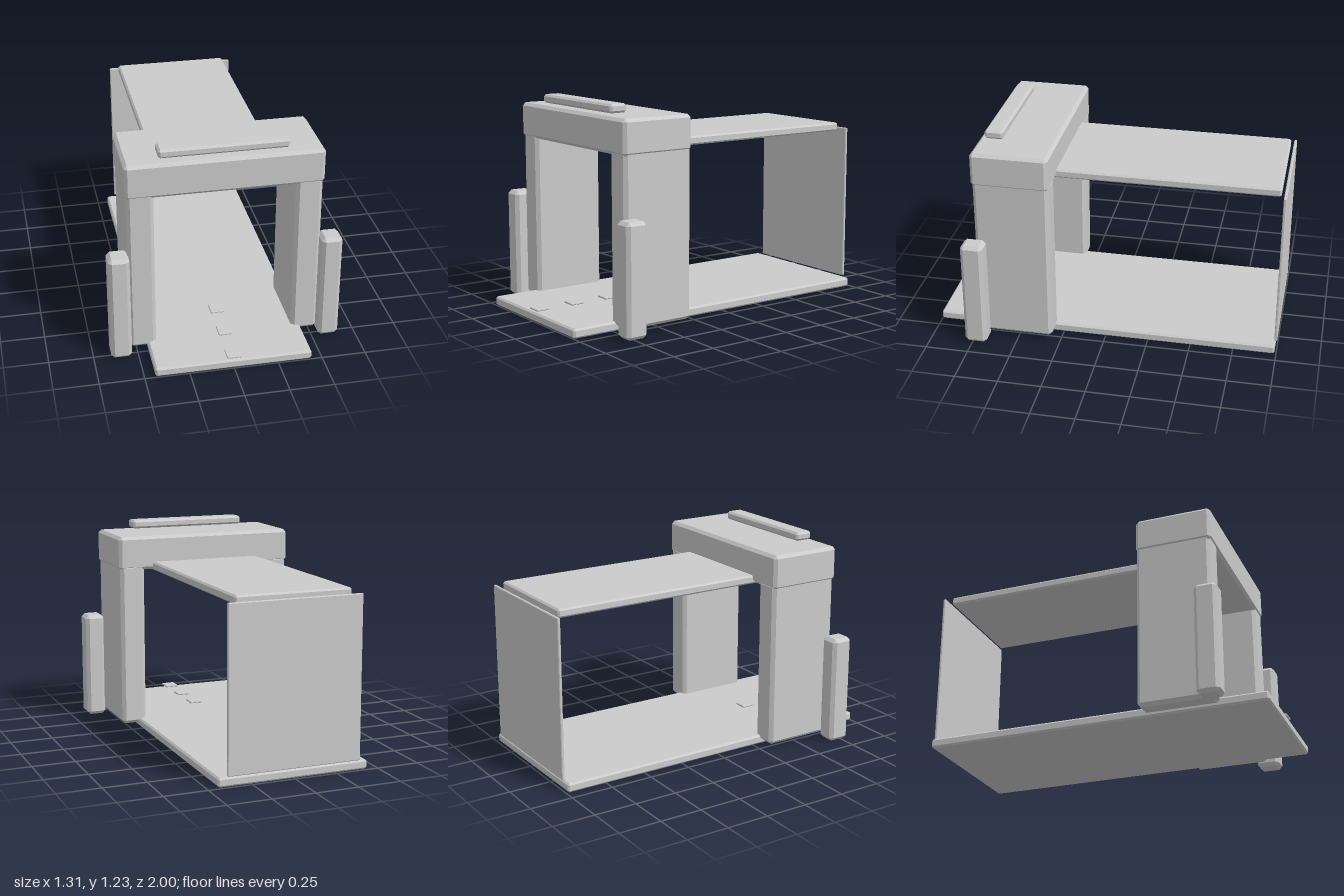
import * as THREE from 'three';
import { ConvexGeometry } from 'three/addons/geometries/ConvexGeometry.js';

const material = new THREE.MeshStandardMaterial({ color: 0xcccccc, flatShading: true });

// Box between two corners with every edge chamfered by b
function chamferBox(name, min, max, b) {
  const lo = new THREE.Vector3(...min), hi = new THREE.Vector3(...max);
  const centre = lo.clone().add(hi).multiplyScalar(0.5);
  const half = hi.clone().sub(lo).multiplyScalar(0.5);
  const points = [];
  for (const sx of [-1, 1]) for (const sy of [-1, 1]) for (const sz of [-1, 1]) {
    for (let axis = 0; axis < 3; axis++) {
      const p = half.clone().subScalar(b);
      p.setComponent(axis, half.getComponent(axis));
      points.push(p.multiply(new THREE.Vector3(sx, sy, sz)));
    }
  }
  const mesh = new THREE.Mesh(new ConvexGeometry(points), material);
  mesh.position.copy(centre);
  mesh.name = name;
  return mesh;
}

export function createModel() {
  const model = new THREE.Group();
  model.name = 'gateway';

  // Floor, roof and rear wall of the passage
  model.add(chamferBox('floor', [-0.44, 0, -0.99], [0.44, 0.053, 1], 0.01));
  model.add(chamferBox('roof', [-0.338, 0.962, -0.968], [0.338, 1.012, 0.37], 0.01));
  model.add(chamferBox('backWall', [-0.39, 0.058, -1], [0.39, 0.982, -0.983], 0.004));

  // Mirrored gate posts and slim outer pillars
  for (const [side, s] of [['left', 1], ['right', -1]]) {
    const post = chamferBox(side + 'Post', [0.39, 0.022, 0.3], [0.54, 1.0, 0.735], 0.02);
    const pillar = chamferBox(side + 'Pillar', [0.535, 0, 0.665], [0.653, 0.637, 0.795], 0.02);
    for (const part of [post, pillar]) {
      part.position.x *= s;
      model.add(part);
    }
  }

  // Lintel across the posts with a bar hovering above
  model.add(chamferBox('lintel', [-0.547, 0.967, 0.3], [0.547, 1.168, 0.742], 0.018));
  model.add(chamferBox('topBar', [-0.358, 1.178, 0.597], [0.358, 1.228, 0.703], 0.012));

  // Row of small floor markers
  for (let i = 0; i < 3; i++) {
    const z = 0.955 - i * 0.225;
    model.add(chamferBox('floorMarker' + (i + 1), [-0.04, 0.063, z - 0.042], [0.04, 0.075, z + 0.042], 0.003));
  }
  return model;
}
